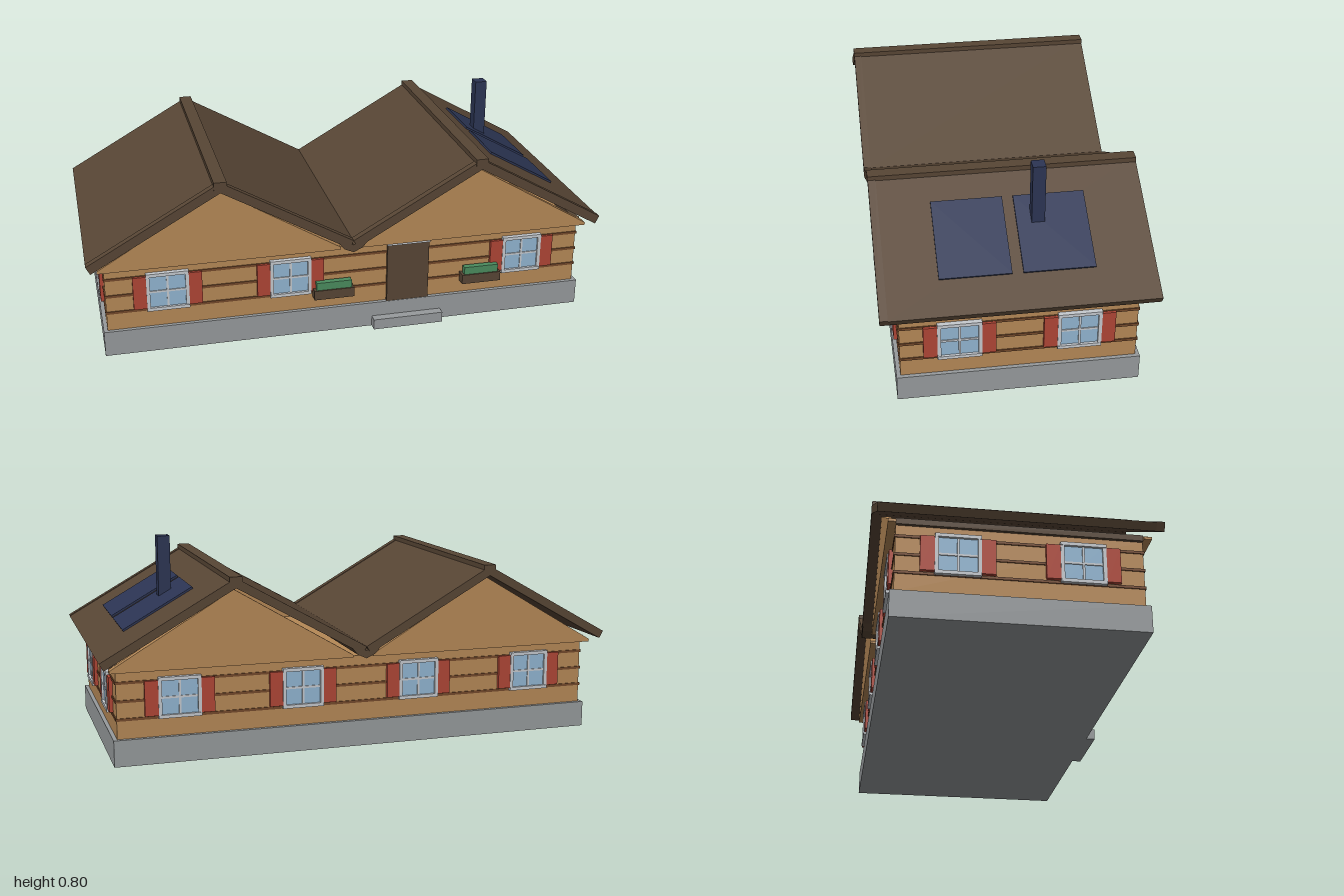
import * as THREE from 'three';

const mat = (name, color) => Object.assign(new THREE.MeshStandardMaterial({ color }), { name });
const M = {
  stone: mat('foundation grey', 0x979b9d),
  wood: mat('wall timber', 0xb68957),
  groove: mat('log groove brown', 0x74492b),
  roof: mat('roof brown', 0x584635),
  glass: mat('window glass', 0x92b6d2),
  frame: mat('window frame', 0xc6cacf),
  shutter: mat('shutter red', 0xb04636),
  navy: mat('solar navy', 0x2c3554),
  green: mat('plant green', 0x4b8c5e),
};

const W = 0.935, D = 0.43;                    // wall half width and half depth
const RIDGE = 0.683, EAVE = 0.4, RD = 0.497;  // roof heights and half depth
const SLOPE = Math.atan2(RIDGE - EAVE, 0.5);

// Box given by its min and max on each axis
function box(parent, name, m, [x0, x1], [y0, y1], [z0, z1]) {
  const mesh = new THREE.Mesh(new THREE.BoxGeometry(x1 - x0, y1 - y0, z1 - z0), m);
  mesh.position.set((x0 + x1) / 2, (y0 + y1) / 2, (z0 + z1) / 2);
  mesh.name = name;
  parent.add(mesh);
  return mesh;
}

// Profile in the xy plane, extruded from z0 to z1
function prism(parent, name, m, points, z0, z1) {
  const shape = new THREE.Shape(points.map(([x, y]) => new THREE.Vector2(x, y)));
  const geo = new THREE.ExtrudeGeometry(shape, { depth: z1 - z0, bevelEnabled: false });
  geo.translate(0, 0, z0);
  const mesh = new THREE.Mesh(geo, m);
  mesh.name = name;
  parent.add(mesh);
}

// Window with frame, cross bars and two shutters, facing +z from its origin
function makeWindow() {
  const g = new THREE.Group();
  g.name = 'window';
  const w = 0.08, h = 0.077, t = 0.013;
  box(g, 'glass', M.glass, [-w + t, w - t], [-h + t, h - t], [0, 0.008]);
  for (const s of [-1, 1]) {
    const side = s * (w - t / 2), rail = s * (h - t / 2), sh = s * (w + 0.025);
    box(g, 'frameSide', M.frame, [side - t / 2, side + t / 2], [-h + t, h - t], [0, 0.016]);
    box(g, 'frameRail', M.frame, [-w, w], [rail - t / 2, rail + t / 2], [0, 0.018]);
    box(g, 'shutter', M.shutter, [sh - 0.025, sh + 0.025], [-0.066, 0.066], [0, 0.014]);
  }
  box(g, 'mullion', M.frame, [-0.004, 0.004], [-h + t, h - t], [0, 0.012]);
  box(g, 'crossbar', M.frame, [-w + t, w - t], [-0.004, 0.004], [0, 0.0115]);
  return g;
}

// Roof slab profile from ridge (cx) to eave (cx + 0.5 * s), with square-cut eave
function slab(cx, s, lift = 0) {
  const t = 0.032, nx = Math.sin(SLOPE), ny = Math.cos(SLOPE);
  return [
    [cx, RIDGE + lift],
    [cx + s * 0.5, EAVE + lift],
    [cx + s * (0.5 - t * nx), EAVE - t * ny],
    [cx, RIDGE - t / ny],
  ];
}

export function createModel() {
  const house = new THREE.Group();
  house.name = 'house';

  // Foundation, step and walls
  box(house, 'foundation', M.stone, [-0.95, 0.95], [0, 0.1], [-0.445, 0.445]);
  box(house, 'doorStep', M.stone, [0.09, 0.37], [0, 0.042], [0.44, 0.48]);
  box(house, 'walls', M.wood, [-W, W], [0.1, 0.352], [-D, D]);
  for (const y of [0.173, 0.241, 0.31])
    box(house, 'logGroove', M.groove, [-W - 0.004, W + 0.004], [y - 0.005, y + 0.005], [-D - 0.004, D + 0.004]);
  for (const s of [-1, 1])
    box(house, 'eaveBeam', M.roof, [s * W - 0.012, s * W + 0.012], [0.352, 0.374], [-D, D]);

  // Gables and roofs
  for (const cx of [-0.5, 0.5]) {
    const gable = [[cx - 0.46, 0.352], [cx + 0.46, 0.352], [cx + 0.46, 0.362], [cx, 0.636], [cx - 0.46, 0.362]];
    prism(house, 'frontGable', M.wood, gable, D, 0.458);
    prism(house, 'backGable', M.wood, gable, -0.458, -D);
    for (const s of [-1, 1]) {
      prism(house, 'roofSlope', M.roof, slab(cx, s), -RD, 0.468);
      prism(house, 'bargeBoard', M.roof, slab(cx, s, 0.003), 0.468, RD);
    }
    box(house, 'ridgeCap', M.roof, [cx - 0.024, cx + 0.024], [0.655, 0.688], [-RD, RD + 0.001]);
  }
  prism(house, 'valleyGutter', M.roof,
    [[-0.07, 0.412], [-0.035, 0.37], [0, 0.354], [0.035, 0.37], [0.07, 0.412], [0, 0.385]], -RD + 0.002, RD - 0.002);

  // Windows on all four sides
  const addWindow = (x, z, turn) => {
    const win = makeWindow();
    win.position.set(x, 0.247, z);
    win.rotation.y = turn;
    house.add(win);
  };
  for (const x of [-0.703, -0.233, 0.703]) addWindow(x, D, 0);
  for (const x of [-0.703, -0.233, 0.233, 0.703]) addWindow(x, -D, Math.PI);
  for (const z of [-0.216, 0.216]) {
    addWindow(W, z, Math.PI / 2);
    addWindow(-W, z, -Math.PI / 2);
  }

  // Door and flower boxes
  box(house, 'door', M.roof, [0.15, 0.318], [0.1, 0.341], [D, 0.443]);
  box(house, 'doorLintel', M.frame, [0.148, 0.32], [0.341, 0.348], [D, 0.448]);
  for (const x of [-0.067, 0.53]) {
    box(house, 'flowerBox', M.roof, [x - 0.079, x + 0.079], [0.152, 0.19], [D, 0.47]);
    box(house, 'flowers', M.green, [x - 0.069, x + 0.069], [0.19, 0.221], [D + 0.01, 0.465]);
  }

  // Solar panels lying on the right slope, and the chimney
  for (const z of [-0.15, 0.15]) {
    const panel = box(house, 'solarPanel', M.navy, [-0.152, 0.152], [-0.004, 0.004], [-0.13, 0.13]);
    panel.position.set(0.749, RIDGE - 0.249 * Math.tan(SLOPE) + 0.004, z);
    panel.rotation.z = -SLOPE;
  }
  box(house, 'chimney', M.navy, [0.67, 0.718], [0.5, 0.8], [-0.122, -0.074]);

  return house;
}
